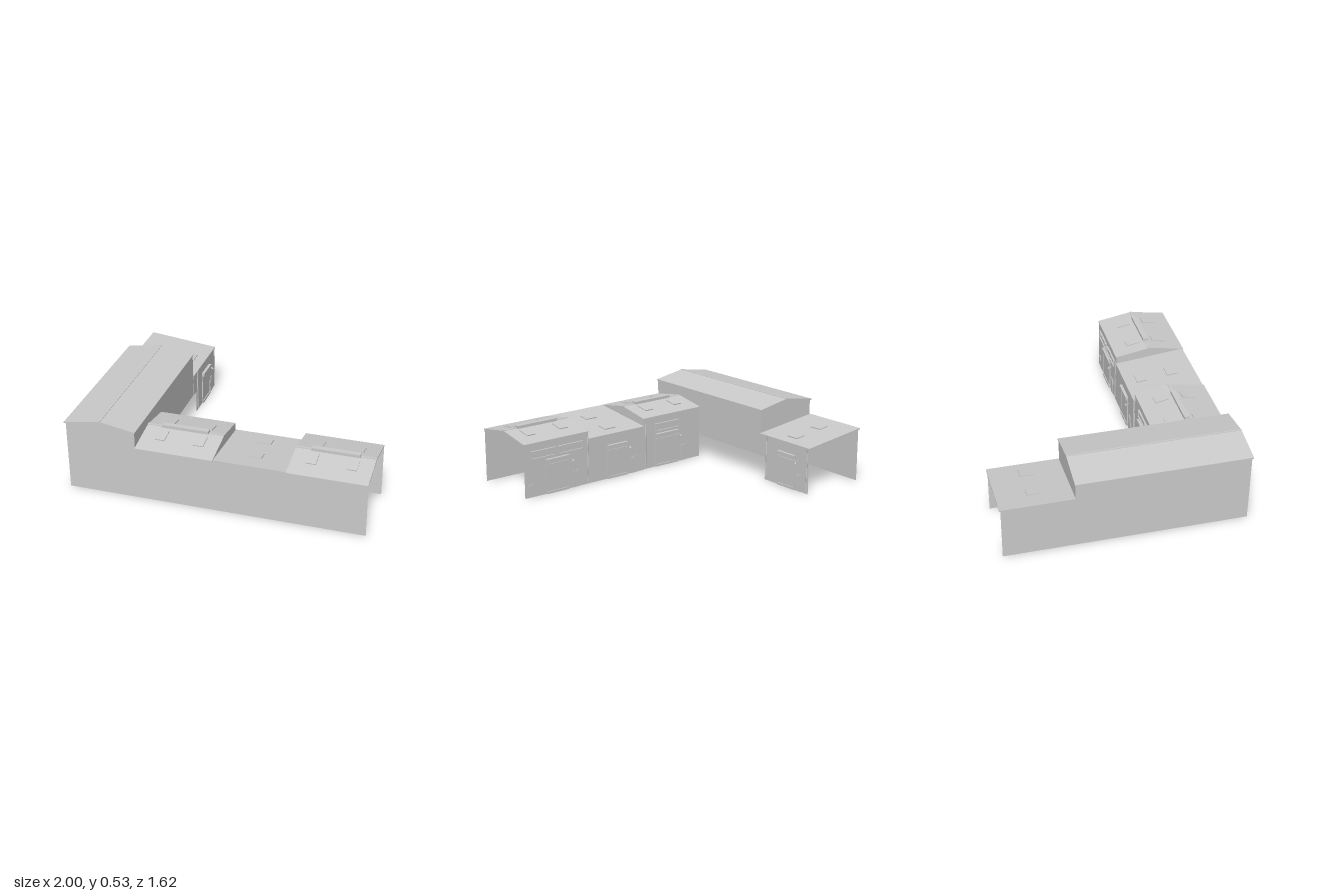
import * as THREE from 'three';

const grey = new THREE.MeshStandardMaterial({ color: 0xcccccc, side: THREE.DoubleSide, flatShading: true });

function add(parent, name, geometry) {
  const mesh = new THREE.Mesh(geometry, grey);
  mesh.name = name;
  parent.add(mesh);
  return mesh;
}

function box(parent, name, w, h, d, x, y, z) {
  const mesh = add(parent, name, new THREE.BoxGeometry(w, h, d));
  mesh.position.set(x, y, z);
  return mesh;
}

// Flat convex wall panel through a few corner points
function panel(parent, name, points) {
  const g = new THREE.BufferGeometry();
  g.setAttribute('position', new THREE.Float32BufferAttribute(points.flat(), 3));
  const index = [];
  for (let i = 1; i < points.length - 1; i++) index.push(0, i, i + 1);
  g.setIndex(index);
  g.computeVertexNormals();
  return add(parent, name, g);
}

// Thin roof sheet: a line of [across, y] points given thickness, then extruded
function sheet(profile, length, t = 0.008) {
  const under = profile.map(([u, v]) => [u, v - t]).reverse();
  const shape = new THREE.Shape([...profile, ...under].map(([u, v]) => new THREE.Vector2(u, v)));
  return new THREE.ExtrudeGeometry(shape, { depth: length, bevelEnabled: false });
}

// Roof running along x, profile given as [z, y]
function roofAlongX(parent, name, profile, x0, x1) {
  const g = sheet(profile.map(([z, y]) => [-z, y]), x1 - x0);
  g.rotateY(Math.PI / 2);
  add(parent, name, g).position.x = x0;
}

// Roof running along z, profile given as [x, y]
function roofAlongZ(parent, name, profile, z0, z1) {
  add(parent, name, sheet(profile, z1 - z0)).position.z = z0;
}

// Loading door fittings on a wall facing local -z; local x runs along the wall
function doorSet(parent, x, width, doorX, lampX) {
  const g = new THREE.Group();
  g.name = 'loadingDoor';
  box(g, 'shutter', width, 0.2, 0.004, x, 0.105, -0.002);
  box(g, 'threshold', width, 0.016, 0.012, x, 0.008, -0.004);
  box(g, 'canopy', width, 0.024, 0.02, x, 0.232, -0.01);
  for (const s of [-1, 1]) box(g, 'shutterJamb', 0.006, 0.21, 0.007, x + s * width / 2, 0.105, -0.003);
  box(g, 'sideDoor', 0.05, 0.12, 0.005, doorX, 0.06, -0.002);
  box(g, 'sideDoorPane', 0.03, 0.035, 0.004, doorX, 0.09, -0.005);
  box(g, 'lampArm', 0.004, 0.004, 0.022, lampX, 0.203, -0.011);
  const lamp = add(g, 'lamp', new THREE.CylinderGeometry(0.004, 0.008, 0.01, 8));
  lamp.position.set(lampX, 0.2, -0.022);
  parent.add(g);
  return g;
}

function downpipe(parent, x, z, top) {
  const pipe = add(parent, 'downpipe', new THREE.CylinderGeometry(0.004, 0.004, top - 0.02, 8));
  pipe.position.set(x, (top + 0.02) / 2, z);
}

// Long window with frame and mullions on a wall facing -z
function stripWindow(parent, x, y, z, w, h) {
  box(parent, 'windowPane', w, h, 0.004, x, y, z - 0.001);
  for (const s of [-1, 1]) {
    box(parent, 'windowRail', w + 0.008, 0.006, 0.014, x, y + s * h / 2, z - 0.005);
    box(parent, 'windowStile', 0.006, h, 0.014, x + s * w / 2, y, z - 0.005);
  }
  for (const s of [-1, 1]) box(parent, 'mullion', 0.004, h, 0.008, x + s * w / 6, y, z - 0.003);
}

function tallHall(parent) {
  const g = new THREE.Group();
  g.name = 'tallHall';
  const L = -0.988, R = -0.518, F = 0.797, B = -0.338, eave = 0.482, M = -0.753, top = 0.52;
  panel(g, 'frontGable', [[L, 0, F], [R, 0, F], [R, eave, F], [M, top, F], [L, eave, F]]);
  panel(g, 'rearGable', [[L, 0.368, B], [L, eave, B], [M, top, B], [R, eave, B], [R, 0.318, B]]);
  panel(g, 'outerWall', [[L, 0, F], [L, eave, F], [L, eave, B], [L, 0, B]]);
  // Courtyard wall hangs above a long opening
  panel(g, 'courtyardWall', [[R, 0.16, 0.315], [R, 0.16, B], [R, eave, B], [R, eave, 0.315]]);
  panel(g, 'wallAboveBay', [[R, 0.325, F], [R, 0.325, 0.315], [R, eave, 0.315], [R, eave, F]]);
  roofAlongZ(g, 'roof', [[-1, 0.487], [M, 0.528], [-0.513, 0.487]], -0.343, 0.803);
  box(g, 'ridgeStrip', 0.012, 0.006, 1.146, M, 0.527, 0.23);
  parent.add(g);
}

function annex(parent) {
  const g = new THREE.Group();
  g.name = 'rearAnnex';
  const L = -0.988, R = -0.515, B = -0.805;
  panel(g, 'outerWall', [[L, 0, -0.338], [L, 0.368, -0.338], [L, 0.368, B], [L, 0, B]]);
  panel(g, 'doorWall', [[R, 0, -0.388], [R, 0.316, -0.388], [R, 0.316, B], [R, 0, B]]);
  panel(g, 'lintel', [[R, 0.16, -0.338], [R, 0.316, -0.338], [R, 0.316, -0.388], [R, 0.16, -0.388]]);
  roofAlongZ(g, 'leanToRoof', [[-0.997, 0.376], [-0.508, 0.322]], -0.813, -0.338);
  for (const x of [-0.84, -0.62]) {
    const y = 0.376 - (x + 0.997) * 0.1104;
    box(g, 'skylight', 0.075, 0.01, 0.09, x, y + 0.002, -0.575).rotation.z = -0.11;
  }
  // Local -z turns to face +x, local x runs along +z
  const doors = doorSet(g, -0.6, 0.16, -0.717, -0.703);
  doors.rotation.y = -Math.PI / 2;
  doors.position.x = R;
  for (const z of [-0.405, -0.793]) downpipe(g, R + 0.006, z, 0.318);
  parent.add(g);
}

// Gabled bay of the front range
function gabledBay(parent, name, x0, x1, back) {
  const g = new THREE.Group();
  g.name = name;
  const ridge = 0.553, mid = (x0 + x1) / 2;
  panel(g, 'frontWall', [[x0, 0, 0.797], [x1, 0, 0.797], [x1, 0.37, 0.797], [x0, 0.37, 0.797]]);
  panel(g, 'backWall', [[x0, 0, back], [x0, 0.37, back], [x1, 0.37, back], [x1, 0, back]]);
  roofAlongX(g, 'gableRoof', [[0.807, 0.374], [ridge, 0.417], [back - 0.005, 0.374]], x0, x1);
  box(g, 'ridgeStrip', x1 - x0, 0.006, 0.016, mid, 0.416, ridge);
  box(g, 'ridgeVent', 0.315, 0.022, 0.036, mid, 0.423, ridge);
  for (const sx of [-1, 1]) for (const sz of [-1, 1]) {
    box(g, 'skylight', 0.065, 0.01, 0.095, mid + sx * 0.13, 0.402, ridge + sz * 0.095).rotation.x = sz * 0.17;
  }
  parent.add(g);
  return g;
}

function leanToBay(parent, x0, x1, back) {
  const g = new THREE.Group();
  g.name = 'middleBay';
  panel(g, 'frontWall', [[x0, 0, 0.797], [x1, 0, 0.797], [x1, 0.37, 0.797], [x0, 0.37, 0.797]]);
  panel(g, 'backWall', [[x0, 0, back], [x0, 0.316, back], [x1, 0.316, back], [x1, 0, back]]);
  roofAlongX(g, 'leanToRoof', [[0.8, 0.375], [back - 0.005, 0.321]], x0, x1);
  for (const z of [0.64, 0.42]) {
    const y = 0.375 - (0.8 - z) * 0.108;
    box(g, 'skylight', 0.09, 0.01, 0.075, (x0 + x1) / 2, y + 0.002, z).rotation.x = -0.11;
  }
  // Gable infill where the neighbours rise above this roof
  for (const x of [x0, x1]) {
    panel(g, 'gableInfill', [[x, 0.37, 0.797], [x, 0.412, 0.553], [x, 0.37, back], [x, 0.316, back]]);
  }
  parent.add(g);
  return g;
}

export function createModel() {
  const model = new THREE.Group();
  model.name = 'courtyardWarehouse';
  tallHall(model);
  annex(model);

  const inner = gabledBay(model, 'innerBay', -0.518, 0.003, 0.317);
  doorSet(inner, -0.21, 0.2, -0.36, -0.325).position.z = 0.317;
  stripWindow(inner, -0.21, 0.29, 0.317, 0.21, 0.05);

  const middle = leanToBay(model, 0.003, 0.48, 0.31);
  doorSet(middle, 0.24, 0.165, 0.1, 0.138).position.z = 0.31;

  const end = gabledBay(model, 'endBay', 0.48, 0.998, 0.31);
  doorSet(end, 0.74, 0.18, 0.59, 0.62).position.z = 0.31;
  for (const x of [0.85, 0.63]) stripWindow(end, x, 0.29, 0.31, 0.19, 0.05);
  box(end, 'wallHatch', 0.03, 0.03, 0.008, 0.95, 0.075, 0.308);

  for (const x of [-0.01, 0.49]) downpipe(model, x, 0.304, 0.33);
  return model;
}
